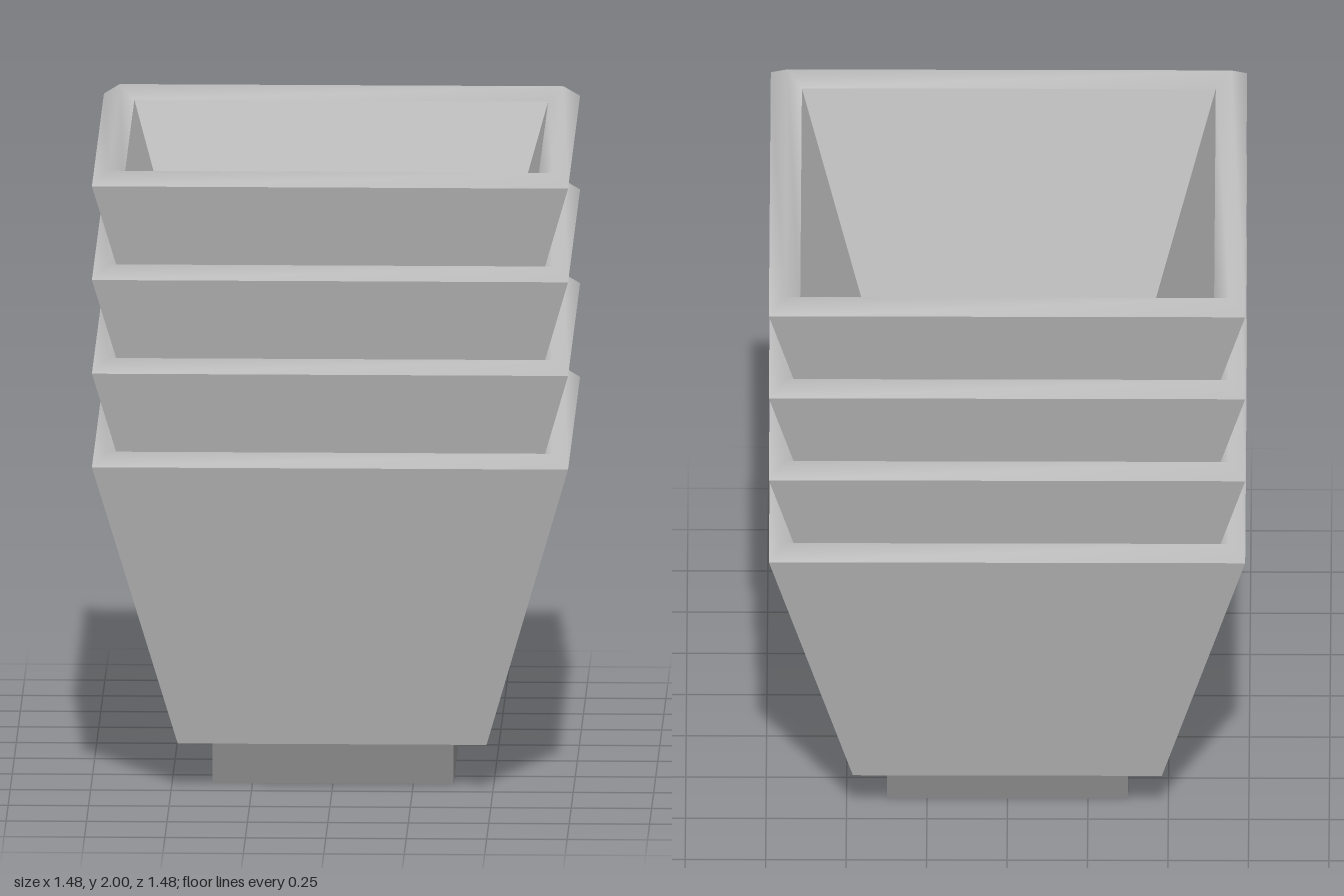
import * as THREE from 'three';

// Square rings of [halfWidth, y] joined in order; the surface faces right of the travel direction.
function squareLoft(profile, smooth) {
  const corners = [[1, 1], [1, -1], [-1, -1], [-1, 1]];
  const pos = [], idx = [];
  for (const [h, y] of profile) for (const [x, z] of corners) pos.push(x * h, y, z * h);
  for (let i = 0; i < profile.length - 1; i++) {
    for (let k = 0; k < 4; k++) {
      const a = i * 4 + k, b = i * 4 + (k + 1) % 4, c = b + 4, d = a + 4;
      if (profile[i][0] > 0) idx.push(a, b, c); // skip collapsed triangles at the centre
      if (profile[i + 1][0] > 0) idx.push(a, c, d);
    }
  }
  let geo = new THREE.BufferGeometry();
  geo.setAttribute('position', new THREE.Float32BufferAttribute(pos, 3));
  geo.setIndex(idx);
  if (!smooth) geo = geo.toNonIndexed();
  geo.computeVertexNormals();
  return geo;
}

export function createModel() {
  const bowlGrey = new THREE.MeshStandardMaterial({ color: 0xbcbcbc });
  bowlGrey.name = 'bowl grey';
  const footGrey = new THREE.MeshStandardMaterial({ color: 0x868686 });
  footGrey.name = 'foot grey';

  const parts = [
    // foot block and the underside ledge of the bowl
    ['foot', squareLoft([[0, 0], [0.375, 0], [0.375, 0.145], [0.48, 0.145]]), footGrey],
    // flared outer wall
    ['outerWall', squareLoft([[0.48, 0.145], [0.74, 1.07]]), bowlGrey],
    // softly shaded bevelled rim
    ['rim', squareLoft([[0.74, 1.07], [0.69, 1.11], [0.643, 1.07]], true), bowlGrey],
    // inner wall and floor
    ['inside', squareLoft([[0.643, 1.07], [0.428, 0.32], [0, 0.32]]), bowlGrey],
  ];

  // four identical bowls nested into one another
  const group = new THREE.Group();
  group.name = 'stackedBowls';
  const count = 4, step = (2 - 1.11) / (count - 1);
  for (let i = 0; i < count; i++) {
    const bowl = new THREE.Group();
    bowl.name = `bowl${i + 1}`;
    for (const [name, geo, mat] of parts) {
      const mesh = new THREE.Mesh(geo, mat);
      mesh.name = name;
      bowl.add(mesh);
    }
    bowl.position.y = i * step;
    group.add(bowl);
  }
  return group;
}
